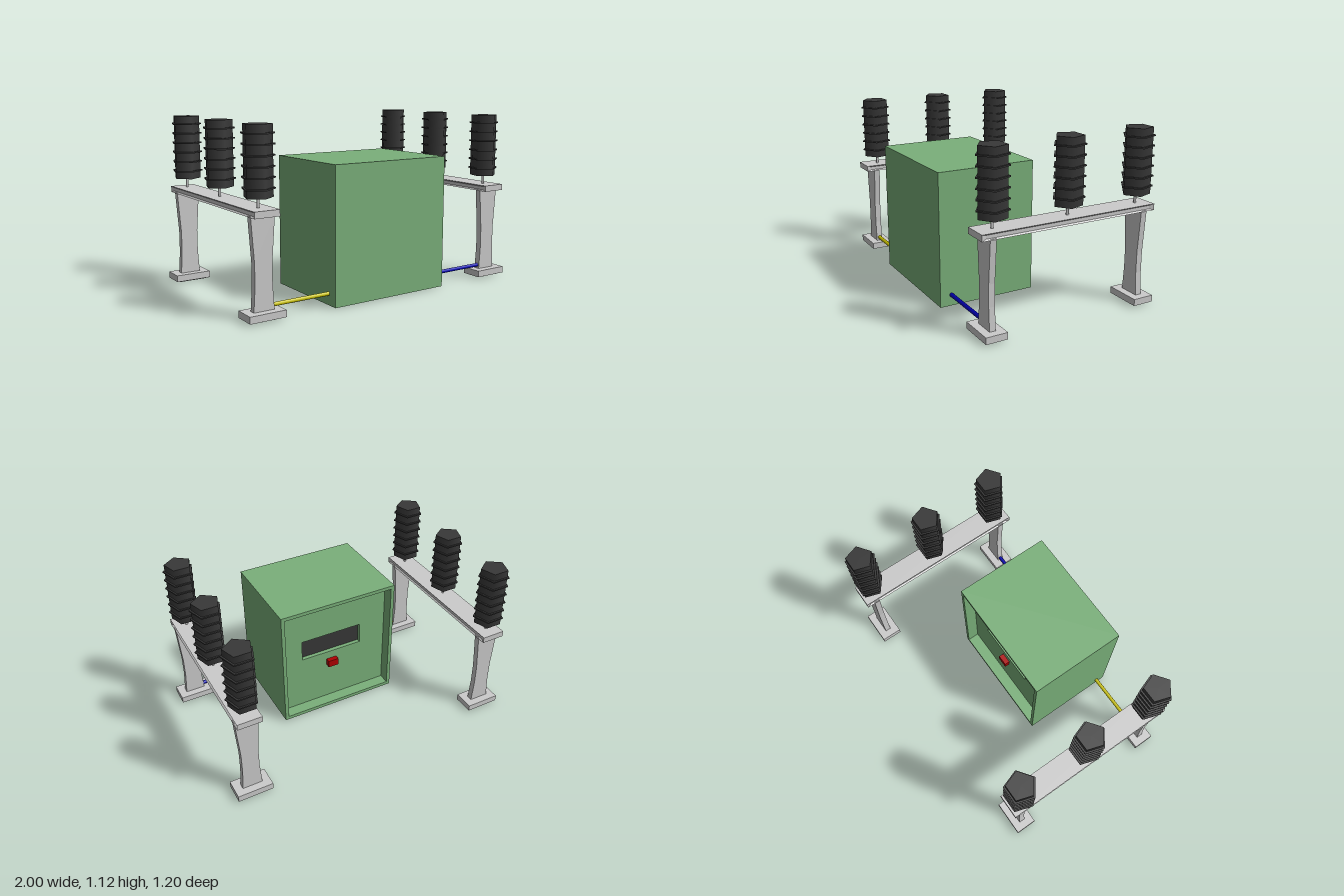
import * as THREE from 'three';

const paint = (color) => new THREE.MeshStandardMaterial({ color });
const grey = paint(0xcccccc);
const green = paint(0x7ab07a);
const dark = paint(0x383838);
const yellow = paint(0xccc400);
const blue = paint(0x0000b4);
const red = paint(0xb00000);

// Skins a run of rectangles [t, a0, a1, b0, b1] stacked along z (a = x, b = y), with both ends closed.
function loftRects(rects) {
  const rings = rects.map(([t, a0, a1, b0, b1]) => [[a0, b0, t], [a1, b0, t], [a1, b1, t], [a0, b1, t]]);
  const pos = [];
  const quad = (p, q, r, s) => pos.push(...p, ...q, ...r, ...p, ...r, ...s);
  const first = rings[0], last = rings[rings.length - 1];
  quad(first[3], first[2], first[1], first[0]);
  for (let k = 0; k + 1 < rings.length; k++) {
    for (let i = 0; i < 4; i++) {
      const j = (i + 1) % 4;
      quad(rings[k][i], rings[k][j], rings[k + 1][j], rings[k + 1][i]);
    }
  }
  quad(...last);
  const geo = new THREE.BufferGeometry();
  geo.setAttribute('position', new THREE.Float32BufferAttribute(pos, 3));
  geo.computeVertexNormals();
  return geo;
}

// Rectangle centred on the loft axis
const centred = (t, a, b) => [t, -a, a, -b, b];

function add(parent, name, geometry, material, x = 0, y = 0, z = 0) {
  const mesh = new THREE.Mesh(geometry, material);
  mesh.name = name;
  mesh.position.set(x, y, z);
  parent.add(mesh);
  return mesh;
}

function createCabinet() {
  const cabinet = new THREE.Group();
  cabinet.name = 'cabinet';
  const slot = [-0.21, 0.24, 0.42, 0.57];
  const opening = [-0.405, 0.395, 0.03, 0.845];
  const outer = [-0.43, 0.42, 0.005, 0.87];
  // Shell with a framed, sunken back panel and a window slot in it
  add(cabinet, 'cabinetShell', loftRects([
    [0.055, ...slot], [0.02, ...slot],
    [0.02, ...opening], [-0.06, ...opening],
    [-0.06, ...outer], [0.6, ...outer],
  ]), green);
  add(cabinet, 'windowPane', new THREE.BoxGeometry(0.45, 0.15, 0.01), dark, 0.015, 0.495, 0.053);
  add(cabinet, 'redSwitch', new THREE.BoxGeometry(0.075, 0.05, 0.04), red, 0.015, 0.335, 0.005);
  return cabinet;
}

// Five-sided insulator on a short pin, with six thin rings
function createInsulator() {
  const insulator = new THREE.Group();
  insulator.name = 'insulator';
  add(insulator, 'insulatorPin', new THREE.CylinderGeometry(0.009, 0.009, 0.08, 8), grey, 0, 0.675, 0);
  add(insulator, 'insulatorBody', new THREE.CylinderGeometry(0.09, 0.09, 0.415, 5), dark, 0, 0.9125, 0);
  const ring = new THREE.CylinderGeometry(0.103, 0.103, 0.009, 5);
  for (let i = 0; i < 6; i++) add(insulator, 'insulatorRing', ring, dark, 0, 0.756 + i * 0.0624, 0);
  return insulator;
}

// Two waisted pillars on feet, a beam with sunken sides, and three insulators
function createStand() {
  const stand = new THREE.Group();
  stand.name = 'stand';
  const foot = loftRects([centred(0, 0.08, 0.04), centred(0.012, 0.118, 0.071), centred(0.055, 0.118, 0.071)])
    .rotateX(-Math.PI / 2);
  const pillar = loftRects([
    centred(0.05, 0.067, 0.02), centred(0.2, 0.057, 0.02),
    centred(0.34, 0.057, 0.02), centred(0.61, 0.077, 0.02),
  ]).rotateX(-Math.PI / 2);
  for (const z of [0.526, -0.525]) {
    add(stand, 'foot', foot, grey, 0, 0, z);
    add(stand, 'pillar', pillar, grey, 0, 0, z);
  }
  const beam = loftRects([
    centred(-0.07, 0.57, 0.011), centred(-0.081, 0.6, 0.02),
    centred(0.081, 0.6, 0.02), centred(0.07, 0.57, 0.011),
  ]).rotateY(Math.PI / 2);
  add(stand, 'beam', beam, grey, 0, 0.625, 0);
  for (const z of [0.493, -0.01, -0.513]) {
    const insulator = createInsulator();
    insulator.position.z = z;
    stand.add(insulator);
  }
  return stand;
}

export function createModel() {
  const model = new THREE.Group();
  model.name = 'switchgear';
  model.add(createCabinet());

  for (const [x, name] of [[0.879, 'leftStand'], [-0.883, 'rightStand']]) {
    const stand = createStand();
    stand.name = name;
    stand.position.x = x;
    model.add(stand);
  }

  // Cables from the cabinet to the front pillars
  const cable = new THREE.CylinderGeometry(0.013, 0.013, 0.42, 8).rotateZ(Math.PI / 2);
  add(model, 'leftCable', cable, blue, 0.62, 0.078, 0.525);
  add(model, 'rightCable', cable, yellow, -0.63, 0.078, 0.525);
  return model;
}
